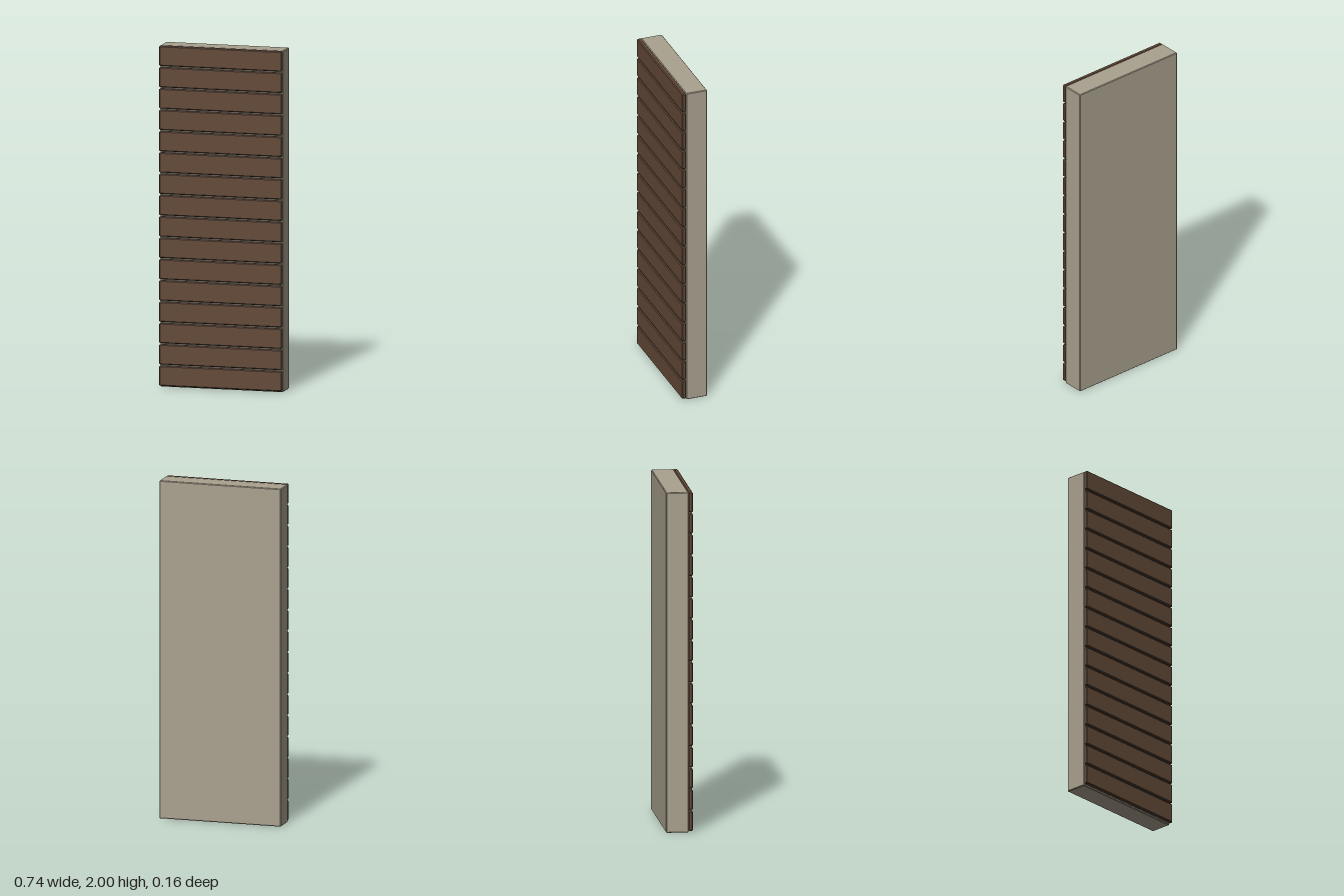
import * as THREE from 'three';
import { ConvexGeometry } from 'three/addons/geometries/ConvexGeometry.js';

// Box with every edge chamfered by b
function chamferBox(w, h, d, b) {
  const points = [];
  for (const x of [-w / 2, w / 2]) for (const y of [-h / 2, h / 2]) for (const z of [-d / 2, d / 2]) {
    const ix = x - Math.sign(x) * b, iy = y - Math.sign(y) * b, iz = z - Math.sign(z) * b;
    points.push(new THREE.Vector3(x, iy, iz), new THREE.Vector3(ix, y, iz), new THREE.Vector3(ix, iy, z));
  }
  return new ConvexGeometry(points);
}

function material(name, color) {
  const m = new THREE.MeshStandardMaterial({ color });
  m.name = name;
  return m;
}

export function createModel() {
  const group = new THREE.Group();
  group.name = 'claddingPanel';
  const plaster = material('plaster', 0xaaa28f);
  const wood = material('brownWood', 0x624938);

  // Backing wall
  const wall = new THREE.Mesh(chamferBox(0.738, 2, 0.13, 0.004), plaster);
  wall.name = 'wall';
  wall.position.set(0, 1, -0.013);
  group.add(wall);

  // Horizontal planks with narrow gaps
  const count = 16, pitch = 0.125, height = 0.117;
  const plankGeometry = chamferBox(0.738, height, 0.026, 0.005);
  for (let i = 0; i < count; i++) {
    const plank = new THREE.Mesh(plankGeometry, wood);
    plank.name = `plank${i + 1}`;
    plank.position.set(0, 2 - height / 2 - i * pitch, 0.064);
    group.add(plank);
  }
  return group;
}
